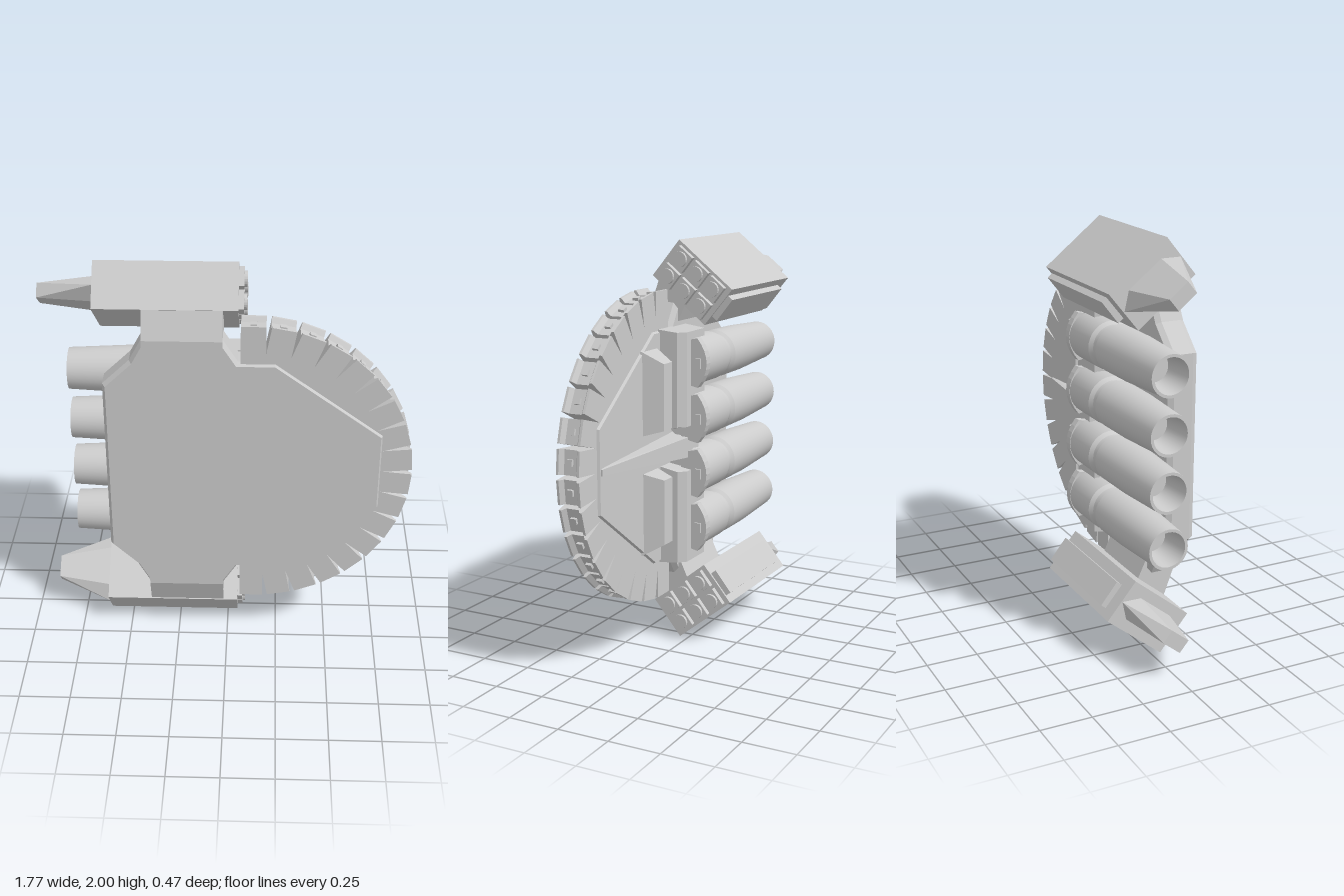
import * as THREE from 'three';
import { toCreasedNormals } from 'three/addons/utils/BufferGeometryUtils.js';
import { ConvexGeometry } from 'three/addons/geometries/ConvexGeometry.js';

const material = new THREE.MeshStandardMaterial({ color: 0xcccccc, flatShading: true });
const smooth = new THREE.MeshStandardMaterial({ color: 0xcccccc, side: THREE.DoubleSide });

function add(parent, name, geometry, mat = material) {
  const mesh = new THREE.Mesh(geometry, mat);
  mesh.name = name;
  parent.add(mesh);
  return mesh;
}

// Prism along x from a [z, y] outline
function prismX(points, x0, x1) {
  const shape = new THREE.Shape(points.map(([z, y]) => new THREE.Vector2(-z, y)));
  return new THREE.ExtrudeGeometry(shape, { depth: x1 - x0, bevelEnabled: false })
    .rotateY(Math.PI / 2).translate(x0, 0, 0);
}

const hull = (points) => new ConvexGeometry(points.map((p) => new THREE.Vector3(...p)));

// Flat main body, mirrored top to bottom
function buildPlate(root) {
  const half = [[0.74, 1.205], [0.225, 1.58], [0.05, 1.58], [-0.02, 1.69],
    [-0.39, 1.69], [-0.45, 1.58], [-0.58, 1.455]];
  const outline = [...half, ...half.slice().reverse().map(([x, y]) => [x, 2 - y])];
  const shape = new THREE.Shape(outline.map((p) => new THREE.Vector2(...p)));
  const geo = new THREE.ExtrudeGeometry(shape, {
    depth: 0.095, bevelThickness: 0.025, bevelSize: 0.015, bevelOffset: -0.015, bevelSegments: 1,
  });
  add(root, 'mainPlate', geo.translate(0, 0, 0.115));
}

// Fan of channelled blocks around the nose
function buildTeeth(root) {
  const profile = [[0.5, -0.06], [0.762, -0.06], [0.762, -0.048], [0.74, -0.032],
    [0.74, 0.032], [0.762, 0.048], [0.762, 0.06], [0.5, 0.06]];
  const shape = new THREE.Shape(profile.map(([r, z]) => new THREE.Vector2(r, z)));
  const block = new THREE.ExtrudeGeometry(shape, { depth: 0.116, bevelEnabled: false })
    .translate(0, 0, -0.058).rotateX(Math.PI / 2);
  const stud = new THREE.BoxGeometry(0.03, 0.03, 0.03).translate(0.738, 0, 0);
  for (let i = 0; i < 18; i++) {
    const tooth = new THREE.Group();
    tooth.name = 'noseTooth';
    tooth.position.set(0.12, 1, 0.162);
    tooth.rotation.z = Math.PI * (0.5 - i / 17);
    add(tooth, 'toothBlock', block);
    add(tooth, 'toothStud', stud);
    root.add(tooth);
  }
}

// Arm, pod, launcher tubes and muzzle; side is 1 for the top, -1 for the bottom
function buildPod(root, side) {
  const pod = new THREE.Group();
  pod.name = side > 0 ? 'upperPod' : 'lowerPod';
  root.add(pod);
  const Y = (y) => 1 + side * (y - 1);
  const flip = (pts) => pts.map(([z, y]) => [z, Y(y)]);
  const cz = -0.0225, cy = 1.8;
  // Cross-section position from the pod's long (a) and short (b) axes
  const at = (x, a, b) => [x, Y(cy - 0.625 * a - 0.77 * b), cz - 0.78 * a + 0.64 * b];

  add(pod, 'arm', prismX(flip([[0.235, 1.69], [0.185, 1.825], [0.02, 1.75], [0.09, 1.6], [0.235, 1.6]]), -0.39, -0.02));
  add(pod, 'podBody', prismX(flip([[0.045, 2], [-0.235, 1.775], [-0.09, 1.6], [0.19, 1.825]]), -0.615, 0.05));
  add(pod, 'podRail', prismX(flip([[-0.19, 1.76], [-0.232, 1.725], [-0.15, 1.622], [-0.105, 1.66]]), -0.54, 0.04));

  // Tapered muzzle
  const muzzle = [];
  for (const i of [-1, 1]) {
    muzzle.push(at(-0.615, i * 0.175, 0));
    for (const j of [-1, 1]) {
      muzzle.push(at(-0.615, i * 0.1, j * 0.06), at(-0.885, i * 0.055, j * 0.035));
    }
  }
  add(pod, 'podMuzzle', hull(muzzle));

  // Two rows of three tubes
  for (const a of [-0.108, 0, 0.108]) {
    for (const b of [-0.054, 0.054]) {
      const cell = new THREE.Group();
      cell.name = 'launcherCell';
      cell.position.set(...at(0.05, a, b));
      cell.rotation.x = -0.68 * side;
      add(cell, 'cellFrame', new THREE.BoxGeometry(0.05, 0.092, 0.092));
      add(cell, 'cellCap', new THREE.CylinderGeometry(0.037, 0.037, 0.04, 20).rotateZ(Math.PI / 2).translate(0.019, 0, 0));
      pod.add(cell);
    }
  }
}

// Ridges and spine behind the plate
function buildBackRibs(root) {
  for (const s of [1, -1]) {
    const Y = (y) => 1 + s * (y - 1);
    const inner = [], outer = [];
    for (const [y, yTop] of [[1.09, 1.11], [1.58, 1.57]]) {
      inner.push([-0.1, Y(y), 0.1], [0.165, Y(y), 0.1], [0.16, Y(yTop), 0], [0.125, Y(yTop), -0.035], [-0.06, Y(yTop), -0.035]);
    }
    for (const [y, yTop] of [[1.09, 1.12], [1.5, 1.44]]) {
      outer.push([0.19, Y(y), 0.1], [0.34, Y(y), 0.1], [0.3, Y(yTop), -0.005], [0.22, Y(yTop), -0.005]);
    }
    add(root, 'innerRidge', hull(inner));
    add(root, 'outerRidge', hull(outer));
  }
  const spine = [];
  for (const s of [-1, 1]) {
    spine.push([0.72, 1 + s * 0.018, 0.1], [0.72, 1 + s * 0.015, 0.082],
      [0, 1 + s * 0.063, 0.1], [0, 1 + s * 0.055, -0.033]);
  }
  add(root, 'spine', hull(spine));
}

// Four parallel engines with open nozzles
function buildEngines(root) {
  const profile = [[0, -0.07], [0.108, -0.07], [0.12, -0.04], [0.12, 0.17], [0.105, 0.19], [0.105, 0.22],
    [0.118, 0.24], [0.116, 0.45], [0.1, 0.76], [0.086, 0.76], [0.07, 0.6], [0, 0.6]];
  const body = toCreasedNormals(
    new THREE.LatheGeometry(profile.map((p) => new THREE.Vector2(...p)), 32).rotateZ(Math.PI / 2), 0.5);
  const cover = [[0.02, -0.1]];
  for (let i = -4; i <= 4; i++) cover.push([-0.12 + 0.05 * (i / 4) ** 2, 0.03 * i]);
  cover.push([0.02, 0.1]);
  const cap = prismX(cover, 0.045, 0.085);
  for (let i = 0; i < 4; i++) {
    const engine = new THREE.Group();
    engine.name = 'engine';
    engine.position.y = 0.6 + i * 0.273;
    add(engine, 'engineBody', body, smooth);
    add(engine, 'engineCap', cap);
    add(engine, 'capStud', new THREE.BoxGeometry(0.015, 0.05, 0.03).translate(0.087, 0, -0.075));
    root.add(engine);
  }
}

export function createModel() {
  const root = new THREE.Group();
  root.name = 'spacecraft';
  buildPlate(root);
  buildTeeth(root);
  for (const side of [1, -1]) buildPod(root, side);
  buildBackRibs(root);
  buildEngines(root);
  return root;
}
